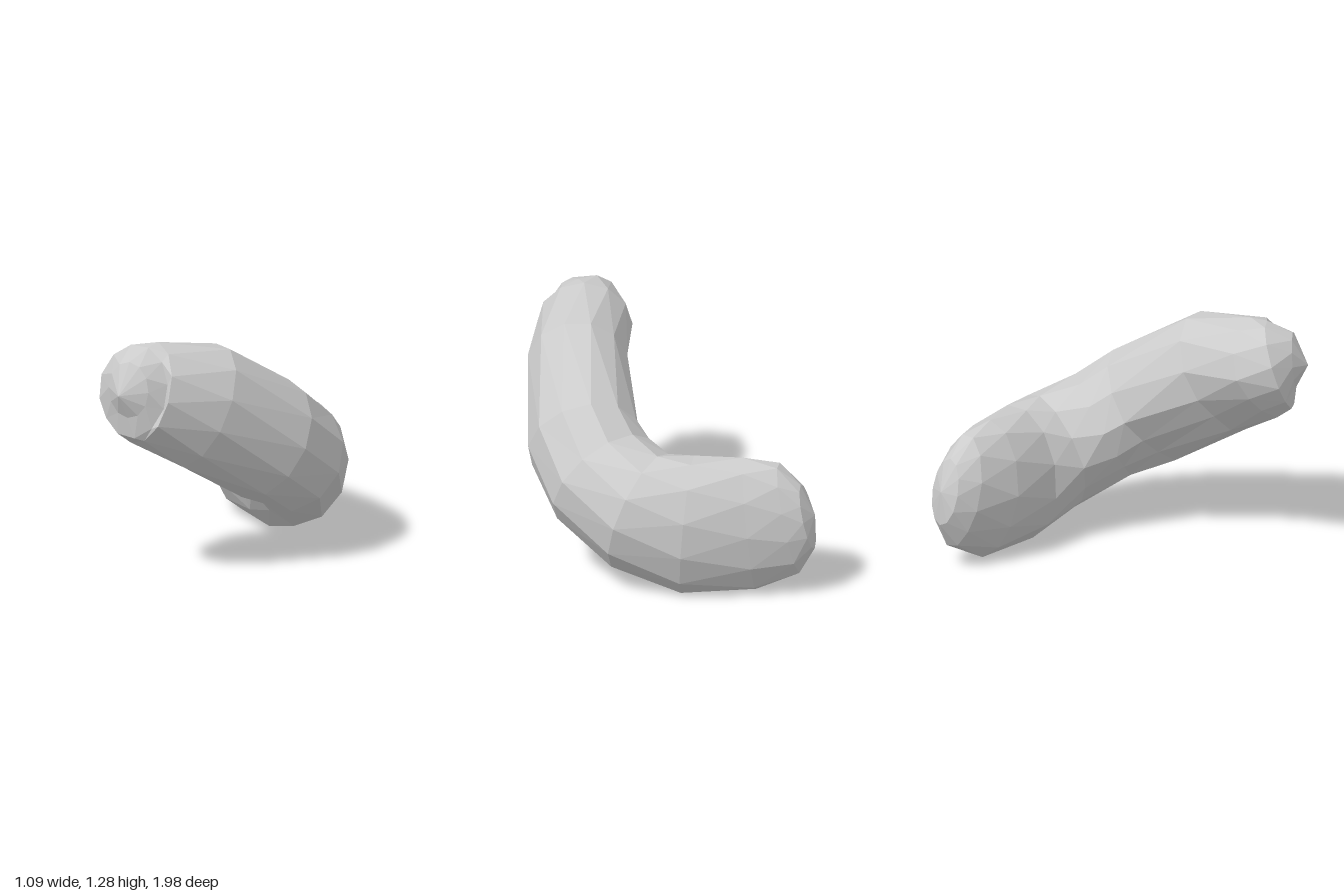
import * as THREE from 'three';

// Stations along the bent body: centre x, y, z, half width, half height,
// and how much the lower inner side is flattened
const STATIONS = [
  [-0.26, 1.07, 0.93, 0.12, 0.15, 0],
  [-0.27, 1.04, 0.85, 0.21, 0.25, 0.1],
  [-0.235, 1.02, 0.77, 0.25, 0.275, 0.15],
  [-0.02, 0.91, 0.53, 0.27, 0.345, 0.2],
  [0.2, 0.66, 0.16, 0.3, 0.335, 0.2],
  [0.225, 0.53, -0.05, 0.32, 0.32, 0.2],
  [0.165, 0.42, -0.3, 0.295, 0.345, 0.15],
  [0, 0.37, -0.5, 0.25, 0.38, 0.03],
  [-0.265, 0.377, -0.69, 0.21, 0.375, 0.08],
  [-0.42, 0.42, -0.835, 0.15, 0.31, 0.1],
  [-0.48, 0.44, -0.915, 0.095, 0.18, 0],
];
const FRONT_TIP = new THREE.Vector3(-0.29, 1.05, 1);
const BACK_TIP = new THREE.Vector3(-0.51, 0.45, -0.94);
const SIDES = 12;

// Skin staggered oval rings with flat triangles and close both ends
function sweepBody() {
  const path = [FRONT_TIP, ...STATIONS.map(([x, y, z]) => new THREE.Vector3(x, y, z)), BACK_TIP];
  const up = new THREE.Vector3(0, 1, 0);
  const positions = [];
  const index = [];

  STATIONS.forEach(([, , , w, h, flatten], i) => {
    const t = path[i + 2].clone().sub(path[i]).normalize();
    const inward = up.clone().cross(t).normalize();
    const rise = t.clone().cross(inward);
    for (let j = 0; j < SIDES; j++) {
      const a = ((j + (i % 2) / 2) / SIDES) * Math.PI * 2;
      const c = Math.cos(a), s = Math.sin(a);
      const r = 1 - 2 * flatten * Math.max(0, c) * Math.max(0, -s);
      const p = path[i + 1].clone().addScaledVector(inward, w * r * c).addScaledVector(rise, h * r * s);
      positions.push(p.x, p.y, p.z);
    }
  });

  // Body bands
  const last = STATIONS.length - 1;
  for (let i = 0; i < last; i++) {
    for (let j = 0; j < SIDES; j++) {
      const k = (j + 1) % SIDES;
      const a = i * SIDES, b = a + SIDES;
      if (i % 2) index.push(a + j, b + k, b + j, a + j, a + k, b + k);
      else index.push(a + j, a + k, b + j, b + j, a + k, b + k);
    }
  }

  // End caps
  const front = STATIONS.length * SIDES, back = front + 1;
  positions.push(...FRONT_TIP.toArray(), ...BACK_TIP.toArray());
  for (let j = 0; j < SIDES; j++) {
    const k = (j + 1) % SIDES;
    index.push(front, k, j, back, last * SIDES + j, last * SIDES + k);
  }

  const geo = new THREE.BufferGeometry();
  geo.setAttribute('position', new THREE.Float32BufferAttribute(positions, 3));
  geo.setIndex(index);
  const flat = geo.toNonIndexed();
  flat.computeVertexNormals();
  return flat;
}

export function createModel() {
  const group = new THREE.Group();
  group.name = 'curvedBean';
  const body = new THREE.Mesh(
    sweepBody(),
    new THREE.MeshStandardMaterial({ color: 0xcccccc, flatShading: true })
  );
  body.name = 'body';
  group.add(body);
  return group;
}
